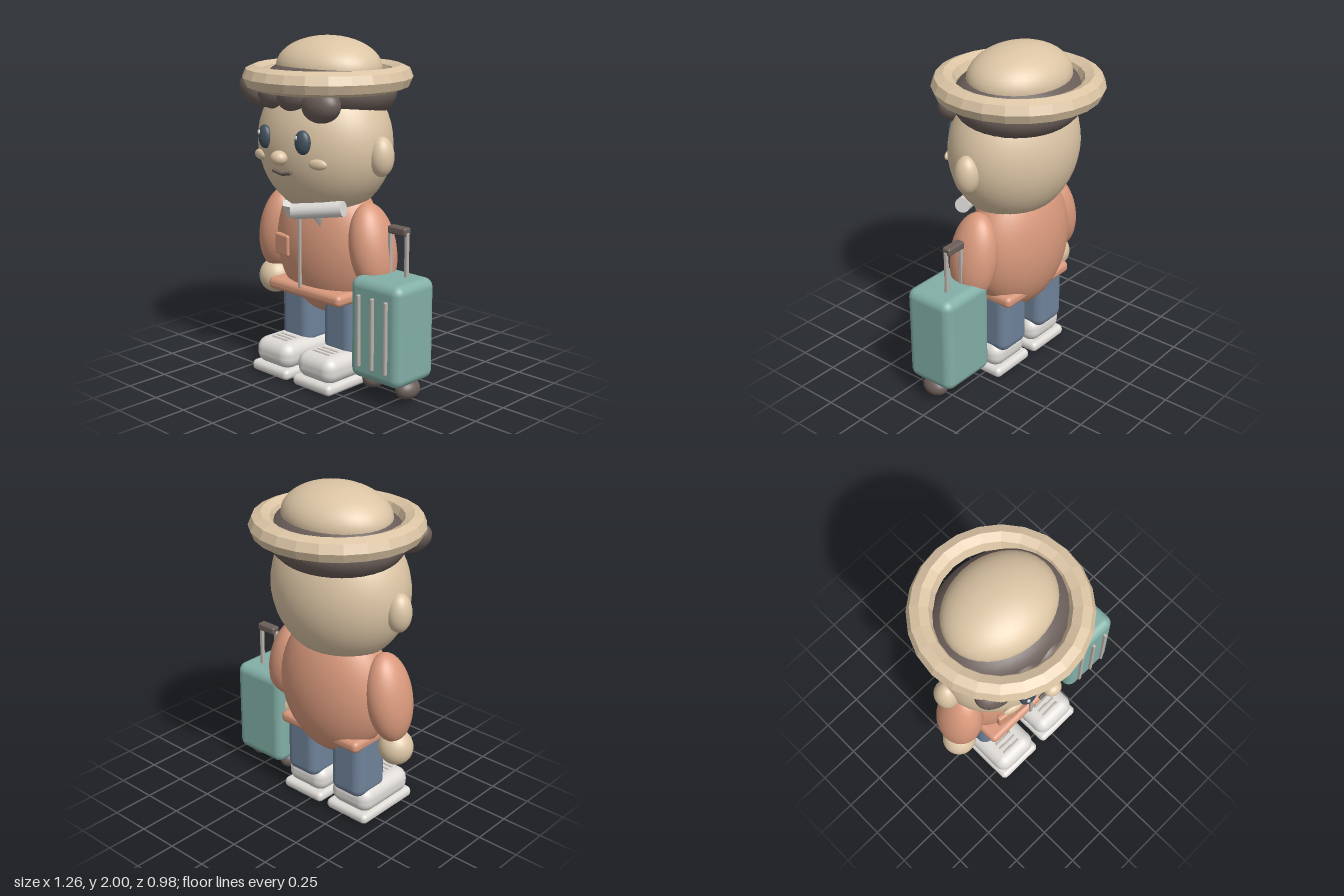
import * as THREE from 'three';
import { RoundedBoxGeometry } from 'three/addons/geometries/RoundedBoxGeometry.js';

const mat = (name, color, flatShading = false) => {
  const m = new THREE.MeshStandardMaterial({ color, flatShading });
  m.name = name;
  return m;
};

export function createModel() {
  const model = new THREE.Group();
  const tan = mat('tan skin', 0xdcc5a5);
  const straw = mat('tan straw', 0xdcc5a5, true);
  const brown = mat('dark brown', 0x6b5e59);
  const coat = mat('terracotta coat', 0xd9997c);
  const denim = mat('denim blue', 0x70839a);
  const white = mat('off white', 0xdedbd7);
  const teal = mat('teal shell', 0x82afa6);
  const ink = mat('dark slate', 0x42525e);
  const metal = mat('grey metal', 0xb9b2ab);

  const CX = -0.113; // middle of the figure, beside the suitcase

  const add = (parent, name, geo, material, pos, rot = [0, 0, 0]) => {
    const mesh = new THREE.Mesh(geo, material);
    mesh.name = name;
    mesh.position.set(...pos);
    mesh.rotation.set(...rot);
    parent.add(mesh);
    return mesh;
  };
  const blob = (parent, name, material, pos, radii, rot) => {
    const mesh = add(parent, name, new THREE.SphereGeometry(1, 36, 24), material, pos, rot);
    mesh.scale.set(...radii);
    return mesh;
  };
  const box = (parent, name, material, pos, size, radius, rot) =>
    add(parent, name, new RoundedBoxGeometry(...size, 4, radius), material, pos, rot);
  // Cylinder between two points
  const rod = (parent, name, material, a, b, r) => {
    const p = new THREE.Vector3(...a), q = new THREE.Vector3(...b);
    const d = q.clone().sub(p);
    const mesh = add(parent, name, new THREE.CylinderGeometry(r, r, d.length(), 24), material,
      p.clone().add(q).multiplyScalar(0.5).toArray());
    mesh.quaternion.setFromUnitVectors(new THREE.Vector3(0, 1, 0), d.normalize());
    return mesh;
  };

  const person = new THREE.Group();
  person.name = 'traveller';
  person.position.x = CX;
  model.add(person);

  // Head and face
  blob(person, 'head', tan, [0, 1.4, 0.025], [0.43, 0.43, 0.345]);
  blob(person, 'nose', tan, [0, 1.347, 0.387], [0.053, 0.042, 0.045]);

  // Hair under the hat and the fringe of curls
  blob(person, 'hair', brown, [0, 1.7, -0.01], [0.42, 0.2, 0.345], [-0.08, 0, 0]);
  const curls = [
    [[-0.3, 1.69, 0.265], [0.135, 0.085, 0.085], [0, 0, -0.45]],
    [[-0.135, 1.685, 0.29], [0.105, 0.085, 0.08], [0, 0, 0.25]],
    [[0.025, 1.685, 0.3], [0.11, 0.085, 0.07], [0, 0, 0.2]],
    [[0.215, 1.645, 0.27], [0.128, 0.095, 0.085], [0, 0, 0.1]],
  ];
  curls.forEach(([p, r, a], i) => blob(person, 'curl' + (i + 1), brown, p, r, a));

  // Hat: smooth crown and faceted ring brim
  blob(person, 'hatCrown', tan, [0, 1.82, -0.008], [0.333, 0.18, 0.272]);
  add(person, 'hatBrim', new THREE.TorusGeometry(0.418, 0.07, 8, 24), straw,
    [0, 1.77, 0], [Math.PI / 2, 0, 0]);

  // Coat body, hem, zip and pocket
  blob(person, 'coatBody', coat, [0, 0.8, -0.01], [0.37, 0.43, 0.237]);
  box(person, 'coatHem', coat, [0, 0.53, 0.025], [0.59, 0.072, 0.39], 0.03);
  box(person, 'zip', metal, [0, 0.785, 0.235], [0.022, 0.44, 0.016], 0.005);
  box(person, 'pocket', coat, [-0.17, 0.787, 0.203], [0.13, 0.125, 0.035], 0.012, [0, -0.15, 0]);

  // Paired parts
  for (const s of [-1, 1]) {
    const side = s > 0 ? 'left' : 'right';
    const x = 0.152 * s;
    blob(person, side + 'Ear', tan, [0.43 * s, 1.36, 0.015], [0.07, 0.113, 0.073]);
    blob(person, side + 'Eye', ink, [x, 1.447, 0.35], [0.05, 0.068, 0.033], [0, 0.15 * s, 0]);
    blob(person, side + 'EyeGlint', white, [x - 0.02, 1.472, 0.376], [0.011, 0.014, 0.008]);
    blob(person, side + 'Cheek', tan, [0.232 * s, 1.33, 0.315], [0.058, 0.03, 0.02], [0, 0.25 * s, 0]);
    box(person, side + 'Lip', brown, [0.035 * s, 1.26, 0.362], [0.078, 0.018, 0.022], 0.006, [0.3, 0, 0.2 * s]);

    // Rolled collar with a small pointed tip below
    rod(person, side + 'Collar', white, [0, 1.025, 0.28], [0.293, 1.07, 0.175], 0.045);
    add(person, side + 'CollarTip', new THREE.ConeGeometry(0.065, 0.1, 4), white,
      [0.12 * s, 0.99, 0.2], [Math.PI, 0, -0.3 * s]);

    // Arm
    blob(person, side + 'Sleeve', coat, [0.375 * s, 0.825, 0.02], [0.122, 0.265, 0.148], [0, 0, 0.2 * s]);
    blob(person, side + 'Hand', tan, [0.417 * s, 0.515, 0.04], [0.102, 0.107, 0.1], [0, 0, 0.15 * s]);

    // Leg and shoe
    const lx = 0.175 * s;
    box(person, side + 'Leg', denim, [lx, 0.36, -0.005], [0.235, 0.4, 0.255], 0.06);
    box(person, side + 'ShoeUpper', white, [lx, 0.13, 0.108], [0.293, 0.16, 0.42], 0.07);
    box(person, side + 'ShoeSole', white, [lx, 0.033, 0.107], [0.305, 0.066, 0.453], 0.03);
    for (let i = 0; i < 3; i++)
      box(person, side + 'Lace' + (i + 1), metal, [lx, 0.209, 0.165 + i * 0.036], [0.13, 0.009, 0.014], 0.003);
  }

  // Suitcase
  const suitcase = new THREE.Group();
  suitcase.name = 'suitcase';
  suitcase.position.x = 0.445;
  model.add(suitcase);
  box(suitcase, 'shell', teal, [0, 0.415, 0.06], [0.37, 0.59, 0.32], 0.055);
  for (const i of [-1, 0, 1])
    box(suitcase, 'rib' + (i + 2), metal, [0.1 * i, 0.41, 0.226], [0.02, 0.42, 0.025], 0.006);
  for (const s of [-1, 1]) {
    box(suitcase, 'handlePost', metal, [0.061 * s, 0.82, 0.012], [0.022, 0.28, 0.022], 0.005);
    blob(suitcase, 'wheel', brown, [0.125 * s, 0.085, 0.063], [0.062, 0.058, 0.08]);
  }
  box(suitcase, 'handleGrip', brown, [0.002, 0.965, 0.01], [0.13, 0.046, 0.055], 0.012);

  return model;
}
